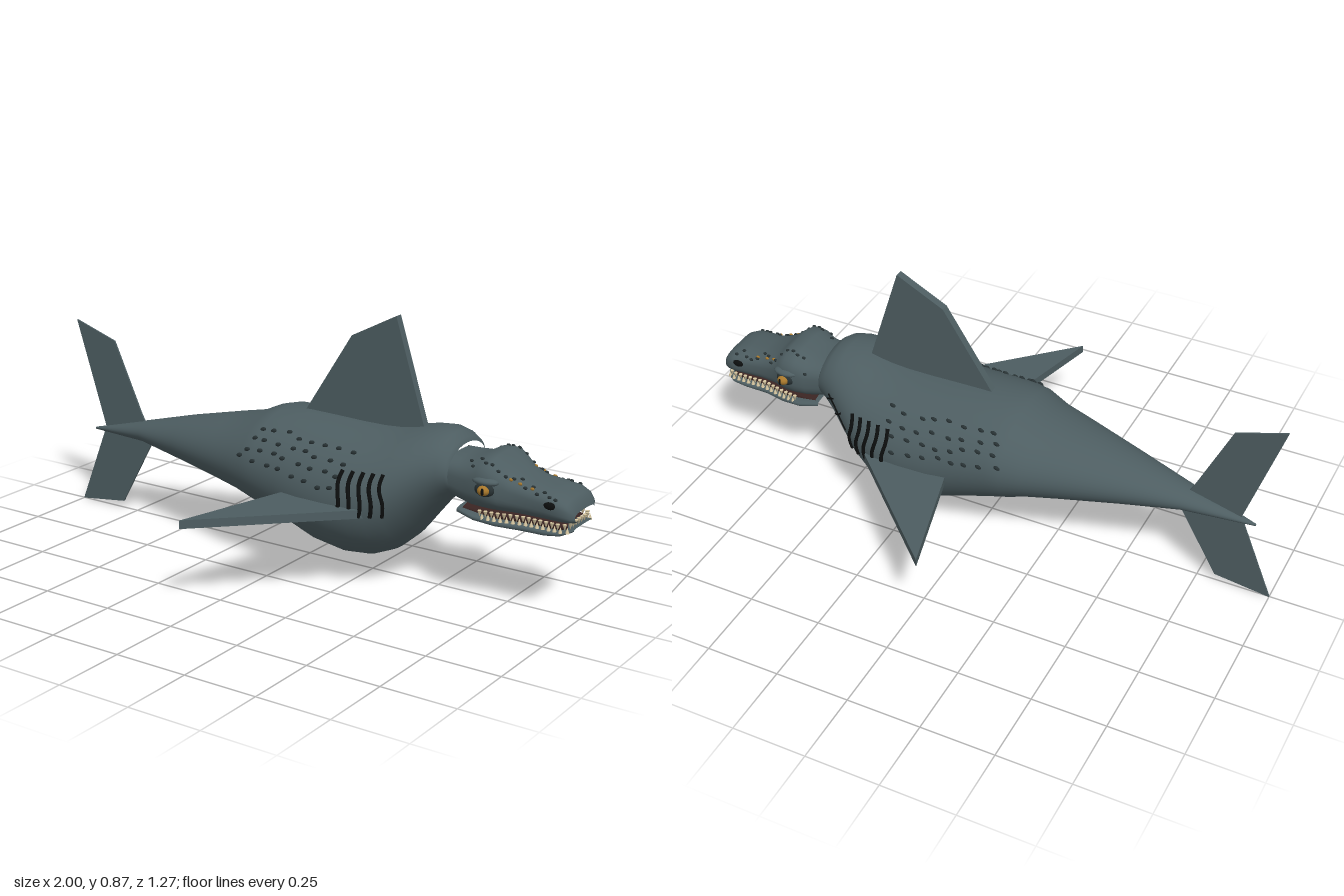
import * as THREE from 'three';

const mat = (name, color, side = THREE.FrontSide) => {
  const m = new THREE.MeshStandardMaterial({ color, side });
  m.name = name;
  return m;
};

// Section rows: x, top y, bottom y, half width
const BODY = [
  [-0.93, 0.288, 0.28, 0.003], [-0.69, 0.352, 0.278, 0.057], [-0.5, 0.402, 0.248, 0.11],
  [-0.3, 0.447, 0.216, 0.17], [-0.2, 0.468, 0.198, 0.2], [-0.13, 0.5, 0.177, 0.225],
  [-0.08, 0.513, 0.16, 0.231], [0.02, 0.515, 0.125, 0.239], [0.12, 0.513, 0.09, 0.254],
  [0.22, 0.51, 0.074, 0.258], [0.3, 0.51, 0.082, 0.255], [0.36, 0.514, 0.107, 0.243],
  [0.41, 0.522, 0.15, 0.226], [0.46, 0.534, 0.212, 0.2], [0.52, 0.541, 0.285, 0.165],
  [0.56, 0.533, 0.322, 0.143], [0.585, 0.515, 0.34, 0.131], [0.592, 0.5, 0.345, 0.122],
];
const HEAD = [
  [0.57, 0.475, 0.345, 0.105], [0.61, 0.476, 0.332, 0.108], [0.655, 0.478, 0.323, 0.118],
  [0.69, 0.497, 0.322, 0.128], [0.73, 0.499, 0.322, 0.13], [0.76, 0.478, 0.322, 0.118],
  [0.79, 0.453, 0.322, 0.102], [0.85, 0.434, 0.322, 0.092], [0.91, 0.427, 0.324, 0.097],
  [0.95, 0.419, 0.325, 0.1], [0.978, 0.406, 0.326, 0.093], [0.993, 0.388, 0.328, 0.082],
  [1.0, 0.365, 0.334, 0.066],
];
const JAW = [
  [0.615, 0.325, 0.298, 0.1], [0.68, 0.318, 0.288, 0.118], [0.75, 0.311, 0.28, 0.11],
  [0.83, 0.307, 0.277, 0.091], [0.91, 0.307, 0.279, 0.092], [0.96, 0.309, 0.288, 0.092],
  [0.985, 0.312, 0.299, 0.078], [0.996, 0.314, 0.306, 0.06],
];

// Point on a section; e below 1 makes it boxier
function ringPoint([x, top, bot, w], a, e, lift = 0) {
  const c = Math.cos(a), s = Math.sin(a);
  return new THREE.Vector3(x,
    (top + bot) / 2 + ((top - bot) / 2 + lift) * Math.sign(s) * Math.abs(s) ** e,
    (w + lift) * Math.sign(c) * Math.abs(c) ** e);
}

// Point on the lofted surface at any x
function surfacePoint(rows, x, a, e, lift) {
  let i = 0;
  while (i < rows.length - 2 && rows[i + 1][0] < x) i++;
  const t = (x - rows[i][0]) / (rows[i + 1][0] - rows[i][0]);
  return ringPoint(rows[i].map((v, k) => v + (rows[i + 1][k] - v) * t), a, e, lift);
}

// Closed skin through the sections
function loft(rows, e = 1, n = 48) {
  const pos = [], idx = [];
  const ring = r => { for (let j = 0; j < n; j++) pos.push(...ringPoint(r, j / n * Math.PI * 2, e).toArray()); };
  rows.forEach(ring);
  for (let i = 0; i < rows.length - 1; i++) for (let j = 0; j < n; j++) {
    const a = i * n + j, b = i * n + (j + 1) % n;
    idx.push(a, a + n, b, b, a + n, b + n);
  }
  for (const end of [0, rows.length - 1]) {
    const r = rows[end], base = pos.length / 3;
    ring(r);
    pos.push(r[0], (r[1] + r[2]) / 2, 0);
    for (let j = 0; j < n; j++) {
      const a = base + j, b = base + (j + 1) % n;
      idx.push(...(end ? [a, b, base + n] : [b, a, base + n]));
    }
  }
  const g = new THREE.BufferGeometry();
  g.setAttribute('position', new THREE.Float32BufferAttribute(pos, 3));
  g.setIndex(idx);
  g.computeVertexNormals();
  return g;
}

// Flat fin from an outline, centred on its thickness
function slab(points, depth) {
  const shape = new THREE.Shape(points.map(p => new THREE.Vector2(...p)));
  return new THREE.ExtrudeGeometry(shape, { depth, bevelEnabled: false }).translate(0, 0, -depth / 2);
}

export function createModel() {
  const skin = mat('slate skin', 0x4d5d61);
  const spotMat = mat('dark spots', 0x283234);
  const black = mat('black', 0x0c0e0e);
  const gold = mat('amber', 0xa8782c);
  const ivory = mat('ivory teeth', 0xd6c6a0);
  const mouthMat = mat('mouth dark red', 0x3a2422);
  const root = new THREE.Group();
  const add = (name, geo, m, parent = root) => {
    const mesh = new THREE.Mesh(geo, m);
    mesh.name = name;
    parent.add(mesh);
    return mesh;
  };
  const group = name => {
    const g = new THREE.Group();
    g.name = name;
    root.add(g);
    return g;
  };
  const ball = new THREE.SphereGeometry(1, 14, 10);
  const blob = (name, m, parent, p, sx, sy, sz) => {
    const b = add(name, ball, m, parent);
    b.position.copy(p);
    b.scale.set(sx, sy, sz);
    return b;
  };
  let seed = 7;
  const rand = () => (seed = (seed * 16807) % 2147483647) / 2147483647;

  // Body, head and jaw
  add('body', loft(BODY), skin);
  add('head', loft(HEAD, 0.72), skin);
  add('lowerJaw', loft(JAW, 0.7), skin);
  add('mouthInside', loft([[0.63, 0.33, 0.3, 0.09], [0.75, 0.33, 0.3, 0.095],
    [0.85, 0.33, 0.3, 0.076], [0.95, 0.33, 0.3, 0.076], [0.975, 0.33, 0.303, 0.06]], 0.7, 24), mouthMat);

  // Fins
  add('dorsalFin', slab([[-0.01, 0.505], [0.17, 0.785], [0.335, 0.87], [0.445, 0.52], [0.4, 0.46], [0.05, 0.46]], 0.027), skin);
  add('tailFin', slab([[-1, 0.675], [-0.83, 0.62], [-0.715, 0.37], [-0.665, 0.285],
    [-0.81, 0.03], [-1, 0.005], [-0.88, 0.3]], 0.006), skin);
  for (const s of [1, -1]) {
    const outline = [[-0.05, 0.635], [0.06, 0.22], [0.1, 0.12], [0.36, 0.12], [0.385, 0.215]];
    const fin = slab(outline.map(([x, z]) => [x, z * s]), 0.028);
    add(s > 0 ? 'frontSideFin' : 'backSideFin', fin.rotateX(Math.PI / 2).translate(0, 0.287, 0), skin);
  }

  const gills = group('gills'), spots = group('flankSpots'), face = group('face'), teeth = group('teeth');
  for (const s of [1, -1]) {
    const side = (rows, x, a, e, lift) => {
      const p = surfacePoint(rows, x, a, e, lift);
      p.z *= s;
      return p;
    };
    // Gill slits wrapped onto the flank
    [0.275, 0.312, 0.348, 0.382, 0.415].forEach((x, i) => {
      const pts = [];
      for (let k = 0; k <= 6; k++) {
        const [, top, bot] = surfaceRow(x);
        const y = 0.272 + i * 0.002 + 0.137 * k / 6;
        pts.push(side(BODY, x + 0.006 * Math.sin(k), Math.asin((y - (top + bot) / 2) / ((top - bot) / 2)), 1, 0.002));
      }
      add('gillSlit', new THREE.TubeGeometry(new THREE.CatmullRomCurve3(pts), 14, 0.0065, 6), black, gills);
    });
    // Spots scattered in rows along the upper flank
    for (let row = 0; row < 4; row++) for (let k = 0; k < 8; k++) {
      const x = -0.13 + k * 0.052 + row * 0.012 + rand() * 0.02;
      const a = 0.22 + row * 0.2 + rand() * 0.08;
      blob('spot', spotMat, spots, side(BODY, x, a, 1, 0.001), 0.011, 0.007, 0.005).rotation.z = 0.3;
    }
    // Eyes with lids
    blob('eyeSocket', spotMat, face, new THREE.Vector3(0.722, 0.405, s * 0.122), 0.034, 0.023, 0.016);
    blob('eye', gold, face, new THREE.Vector3(0.725, 0.405, s * 0.134), 0.02, 0.016, 0.017);
    blob('pupil', black, face, new THREE.Vector3(0.729, 0.405, s * 0.148), 0.005, 0.012, 0.005);
    blob('brow', skin, face, new THREE.Vector3(0.722, 0.43, s * 0.115), 0.045, 0.014, 0.025);
    // Nostrils and snout marks
    blob('nostril', black, face, new THREE.Vector3(0.93, 0.386, s * 0.097), 0.02, 0.012, 0.008);
    for (let k = 0; k < 15; k++) {
      const p = side(HEAD, 0.65 + k * 0.021, 0.35 + rand() * 0.75, 0.72, 0.001);
      blob('headSpot', spotMat, face, p, 0.007, 0.005, 0.005);
    }
    for (const x of [0.79, 0.82, 0.86]) blob('amberMark', gold, face, side(HEAD, x, 0.75, 0.72, 0.001), 0.007, 0.005, 0.004);
    // Teeth along both jaws
    for (let k = 0; k < 15; k++) {
      const x = 0.7 + k * 0.0195;
      const z = surfacePoint(JAW, x, 0, 0.7, 0).z - 0.008;
      for (const up of [1, -1]) {
        const t = add('tooth', new THREE.ConeGeometry(0.007, 0.02, 6), ivory, teeth);
        t.position.set(x + (up > 0 ? 0.009 : 0), up > 0 ? 0.313 : 0.32, s * z);
        if (up < 0) t.rotation.x = Math.PI;
      }
    }
  }
  // Front teeth
  for (let k = -3; k <= 3; k++) {
    const t = add('tooth', new THREE.ConeGeometry(0.007, 0.02, 6), ivory, teeth);
    t.position.set(0.982, 0.321, k * 0.019);
    t.rotation.x = Math.PI;
  }
  // Scar lines ahead of the right gills
  const scars = group('scars');
  for (const [x0, a0, x1, a1] of [[0.44, -0.1, 0.53, 0.1], [0.46, 0.15, 0.5, -0.25], [0.5, 0.2, 0.54, -0.15]]) {
    const pts = [0, 0.5, 1].map(t => {
      const p = surfacePoint(BODY, x0 + (x1 - x0) * t, a0 + (a1 - a0) * t, 1, 0.001);
      p.z *= -1;
      return p;
    });
    add('scar', new THREE.TubeGeometry(new THREE.CatmullRomCurve3(pts), 8, 0.003, 5), black, scars);
  }
  return root;
}

// Top and bottom of the body at x
function surfaceRow(x) {
  return [x, surfacePoint(BODY, x, Math.PI / 2, 1, 0).y, surfacePoint(BODY, x, -Math.PI / 2, 1, 0).y];
}
